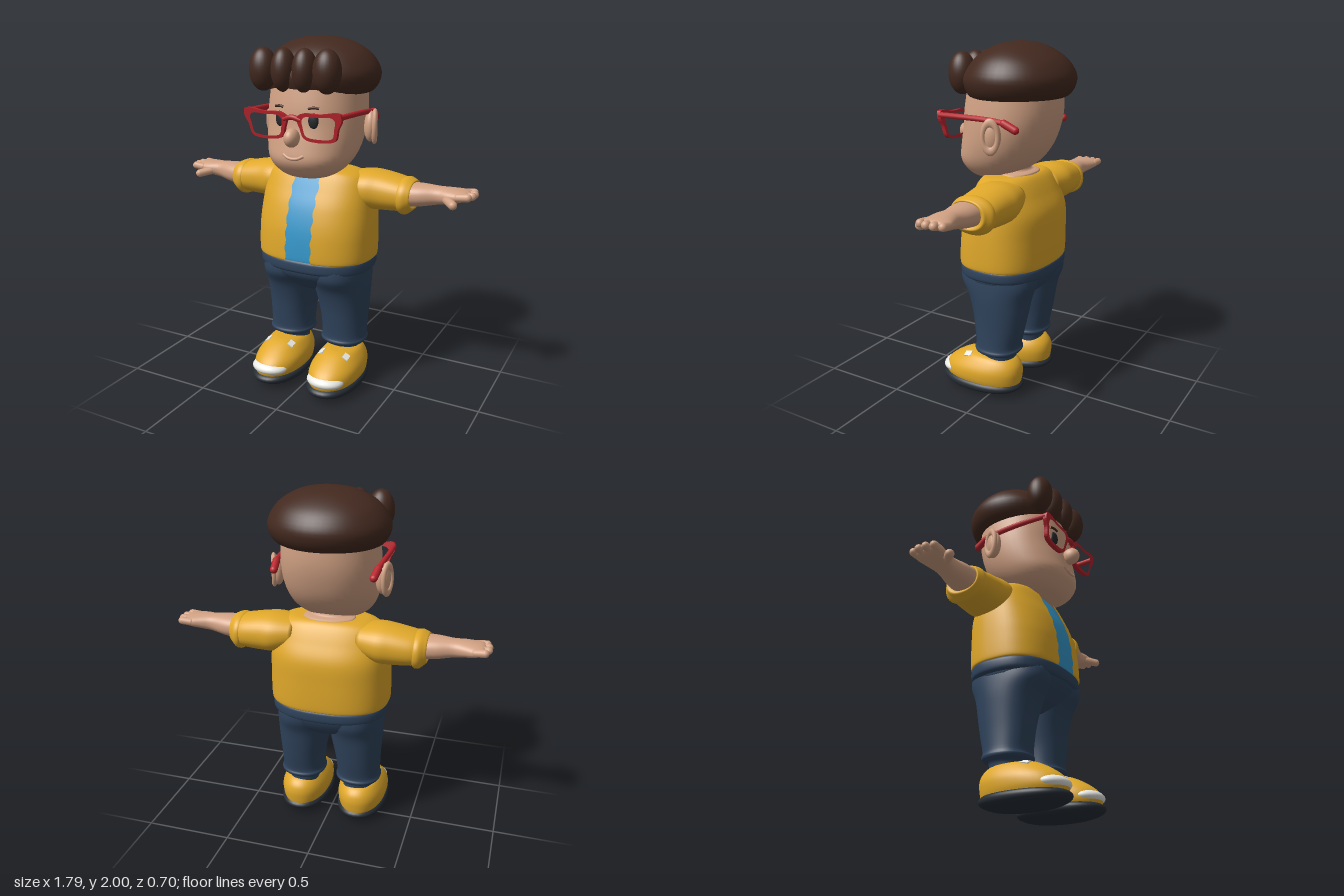
import * as THREE from 'three';

const mat = (name, color, double) => {
  const m = new THREE.MeshStandardMaterial({ color });
  m.name = name;
  if (double) m.side = THREE.DoubleSide;
  return m;
};

// Smooth skin over cross-sections [y, halfWidth, zFront, zBack, centreX]; gap(y) leaves the front open
function loft(rows, { seg = 40, e = 2.2, gap = null, sub = 4 } = {}) {
  const at = (i, k) => rows[Math.min(Math.max(i, 0), rows.length - 1)][k] ?? 0;
  const sections = [];
  for (let i = 0; i < rows.length - 1; i++) {
    for (let s = 0; s < sub + (i === rows.length - 2 ? 1 : 0); s++) {
      const t = s / sub;
      sections.push([0, 1, 2, 3, 4].map((k) => {
        const [a, b, c, d] = [at(i - 1, k), at(i, k), at(i + 1, k), at(i + 2, k)];
        return b + 0.5 * t * (c - a + t * (2 * a - 5 * b + 4 * c - d + t * (3 * (b - c) + d - a)));
      }));
    }
  }
  const pos = [], idx = [], cols = gap ? seg + 1 : seg;
  const pw = (v) => Math.sign(v) * Math.abs(v) ** (2 / e);
  for (const [y, rx, zf, zb, cx] of sections) {
    const t0 = gap ? Math.asin(Math.min(1, gap(y) / rx) ** (e / 2)) : 0;
    for (let j = 0; j < cols; j++) {
      const t = t0 + (j / seg) * (2 * Math.PI - 2 * t0);
      pos.push(cx + rx * pw(Math.sin(t)), y, (zf + zb) / 2 + ((zf - zb) / 2) * pw(Math.cos(t)));
    }
  }
  const n = sections.length, foot = n * cols, crown = foot + 1;
  for (const [y, , zf, zb, cx] of [sections[0], sections[n - 1]]) pos.push(cx, y, (zf + zb) / 2);
  for (let j = 0; j < seg; j++) {
    const k = (j + 1) % cols;
    idx.push(k, j, foot, (n - 1) * cols + j, (n - 1) * cols + k, crown);
    for (let i = 0; i < n - 1; i++) {
      const a = i * cols + j, b = i * cols + k;
      idx.push(a, b, a + cols, b, b + cols, a + cols);
    }
  }
  const g = new THREE.BufferGeometry();
  g.setAttribute('position', new THREE.Float32BufferAttribute(pos, 3));
  g.setIndex(idx);
  g.computeVertexNormals();
  return g;
}

// Limb along +x from rows [x, halfHeight, zFront, zBack, centreY]
const limb = (rows, opt) => loft(rows.map(([x, h, f, b, y]) => [x, h, f, b, -y]), opt).rotateZ(-Math.PI / 2).translate(0, 0, 0);
const ball = (x, y, z, rx, ry, rz, turn = 0) =>
  new THREE.SphereGeometry(1, 28, 20).scale(rx, ry, rz).rotateY(turn).translate(x, y, z);
const tube = (pts, r, n = 24) =>
  new THREE.TubeGeometry(new THREE.CatmullRomCurve3(pts.map((p) => new THREE.Vector3(...p))), n, r, 10);

function capsule(a, b, r) {
  const A = new THREE.Vector3(...a), B = new THREE.Vector3(...b), d = B.clone().sub(A);
  const q = new THREE.Quaternion().setFromUnitVectors(new THREE.Vector3(0, 1, 0), d.clone().normalize());
  const c = A.add(B).multiplyScalar(0.5);
  return new THREE.CapsuleGeometry(r, d.length(), 6, 14).applyQuaternion(q).translate(c.x, c.y, c.z);
}

function mirrored(geo) {
  const g = geo.index ? geo.clone().toNonIndexed() : geo.clone();
  const p = g.attributes.position, nrm = g.attributes.normal;
  for (const at of [p, nrm]) {
    for (let i = 0; i < at.count; i++) at.setX(i, -at.getX(i));
    for (let i = 0; i < at.count; i += 3) {
      const a = new THREE.Vector3().fromBufferAttribute(at, i + 1);
      const b = new THREE.Vector3().fromBufferAttribute(at, i + 2);
      at.setXYZ(i + 1, b.x, b.y, b.z);
      at.setXYZ(i + 2, a.x, a.y, a.z);
    }
  }
  return g;
}

export function createModel() {
  const model = new THREE.Group();
  model.name = 'boyFigure';
  const skin = mat('skin', 0xd2a284), hair = mat('hair brown', 0x43291f);
  const yellow = mat('jacket yellow', 0xe0a82a, true), blue = mat('shirt blue', 0x3598cb);
  const denim = mat('denim', 0x30445d), sole = mat('sole dark', 0x262d35);
  const white = mat('white', 0xe8e8e4), red = mat('glasses red', 0xb9252d), dark = mat('eye black', 0x26282c);
  const add = (name, geo, m) => {
    const mesh = new THREE.Mesh(geo, m);
    mesh.name = name;
    model.add(mesh);
  };
  const pair = (name, geo, m) => {
    add(name + 'Left', geo, m);
    add(name + 'Right', mirrored(geo), m);
  };

  // Head and face
  add('head', loft([[1.245, 0.03, 0.13, 0.05], [1.26, 0.12, 0.2, 0], [1.3, 0.19, 0.25, -0.08], [1.36, 0.235, 0.285, -0.16],
    [1.44, 0.26, 0.275, -0.22], [1.54, 0.272, 0.257, -0.26], [1.64, 0.27, 0.25, -0.28], [1.76, 0.26, 0.23, -0.28]]), skin);
  add('neck', loft([[1.2, 0.14, 0.04, -0.14], [1.28, 0.15, 0.04, -0.145], [1.295, 0.13, 0.04, -0.13], [1.31, 0.1, 0.05, -0.1], [1.4, 0.1, 0.08, -0.1]]), skin);
  add('nose', ball(0, 1.49, 0.295, 0.04, 0.05, 0.053), skin);
  add('mouth', tube([[-0.06, 1.395, 0.277], [-0.03, 1.38, 0.284], [0, 1.376, 0.286], [0.03, 1.38, 0.284], [0.06, 1.395, 0.277]], 0.009), skin);
  pair('eye', ball(0.1, 1.578, 0.242, 0.028, 0.041, 0.012, 0.2), dark);
  pair('eyebrow', tube([[0.072, 1.64, 0.246], [0.1, 1.646, 0.242], [0.13, 1.642, 0.234]], 0.007, 10), hair);
  pair('ear', ball(0.295, 1.525, -0.05, 0.036, 0.085, 0.05, 0.35), skin);
  pair('earRim', new THREE.TorusGeometry(0.042, 0.014, 10, 28).scale(0.95, 1.75, 1)
    .rotateY(Math.PI / 2 + 0.35).translate(0.318, 1.525, -0.055), skin);

  // Hair cap and fringe curls
  add('hairCap', loft([[1.705, 0.1, 0.08, -0.12], [1.7, 0.255, 0.2, -0.27], [1.735, 0.31, 0.235, -0.33], [1.81, 0.33, 0.25, -0.352],
    [1.89, 0.29, 0.2, -0.31], [1.945, 0.225, 0.135, -0.24], [1.985, 0.13, 0.05, -0.15], [2, 0.01, -0.04, -0.06]], { seg: 48, e: 2 }), hair);
  [-0.215, -0.09, 0.035, 0.165].forEach((x, i) => {
    const r = i % 3 ? 0.066 : 0.076;
    add('fringeCurl' + (i + 1), ball(x, 1.83, 0.215, r, 0.115, 0.075), hair);
  });

  // Glasses: two rims, bridge and temples, leaning back slightly
  const outline = (pts, T) => new T(new THREE.CatmullRomCurve3(
    pts.map(([x, y]) => new THREE.Vector3(x, y, 0)), true, 'centripetal').getPoints(48).slice(0, 48));
  const rim = outline([[0.03, 1.595], [0.06, 1.62], [0.16, 1.622], [0.28, 1.632], [0.288, 1.595], [0.266, 1.55], [0.25, 1.495],
    [0.22, 1.478], [0.09, 1.478], [0.06, 1.495], [0.045, 1.54]], THREE.Shape);
  rim.holes.push(outline([[0.06, 1.585], [0.08, 1.604], [0.16, 1.606], [0.235, 1.608], [0.252, 1.59], [0.245, 1.55], [0.234, 1.505],
    [0.21, 1.494], [0.1, 1.494], [0.075, 1.505], [0.063, 1.55]], THREE.Path));
  const rimGeo = new THREE.ExtrudeGeometry(rim, { depth: 0.022, bevelEnabled: false });
  const rp = rimGeo.attributes.position;
  for (let i = 0; i < rp.count; i++) rp.setZ(i, rp.getZ(i) + 0.282 + (rp.getY(i) - 1.63) * 0.15);
  rimGeo.computeVertexNormals();
  pair('glassesRim', rimGeo, red);
  add('glassesBridge', tube([[-0.05, 1.585, 0.287], [0, 1.598, 0.292], [0.05, 1.585, 0.287]], 0.014), red);
  pair('glassesTemple', tube([[0.278, 1.612, 0.29], [0.285, 1.612, 0.15], [0.285, 1.608, 0], [0.282, 1.598, -0.1], [0.275, 1.58, -0.15]], 0.015), red);
  pair('glassesTempleTip', capsule([0.28, 1.595, -0.115], [0.272, 1.563, -0.178], 0.021), red);

  // Open jacket over a shirt
  const torso = [[0.785, 0.33, 0.235, -0.255], [0.8, 0.343, 0.248, -0.27], [0.95, 0.343, 0.238, -0.272], [1.08, 0.335, 0.205, -0.265],
    [1.18, 0.32, 0.16, -0.22], [1.25, 0.29, 0.125, -0.18], [1.28, 0.23, 0.105, -0.15], [1.287, 0.15, 0.08, -0.12]];
  add('shirt', loft(torso.map(([y, r, f, b]) => [y - 0.004, r - 0.012, f - 0.008, b + 0.012]), { e: 2.5, seg: 56 }), blue);
  add('jacketBody', loft(torso, { e: 2.5, seg: 56, sub: 8, gap: (y) => 0.079 + 0.005 * Math.sin(y * 75) }), yellow);
  pair('sleeve', limb([[0.18, 0.08, 0.06, -0.19, 1.19], [0.29, 0.108, 0.075, -0.22, 1.178], [0.37, 0.108, 0.06, -0.215, 1.174],
    [0.46, 0.098, 0.052, -0.205, 1.168], [0.5, 0.092, 0.048, -0.195, 1.165]]), yellow);
  pair('sleeveCuff', limb([[0.485, 0.085, 0.04, -0.185, 1.162], [0.495, 0.1, 0.052, -0.2, 1.16], [0.52, 0.102, 0.055, -0.2, 1.16],
    [0.545, 0.088, 0.045, -0.18, 1.165], [0.56, 0.075, 0.035, -0.165, 1.168], [0.55, 0.06, 0.02, -0.14, 1.168]]), yellow);

  // Forearms and hands
  pair('forearm', limb([[0.5, 0.066, 0.03, -0.15, 1.17], [0.6, 0.062, 0.02, -0.145, 1.176], [0.69, 0.05, -0.005, -0.128, 1.183],
    [0.75, 0.044, 0.005, -0.14, 1.188], [0.81, 0.035, 0.006, -0.158, 1.193], [0.85, 0.024, 0, -0.155, 1.197], [0.865, 0.008, -0.04, -0.11, 1.198]]), skin);
  [-0.137, -0.095, -0.053, -0.012].forEach((z, i) =>
    pair('finger' + (i + 1), capsule([0.81, 1.195, z], [i % 3 ? 0.875 : 0.862, 1.2, z * 1.04], 0.022), skin));
  pair('thumb', capsule([0.745, 1.178, -0.02], [0.8, 1.165, 0.038], 0.024), skin);

  // Trousers: waistband, hips and legs
  add('waistband', loft([[0.715, 0.315, 0.228, -0.25], [0.73, 0.333, 0.244, -0.268], [0.775, 0.335, 0.246, -0.27], [0.79, 0.322, 0.235, -0.258]], { e: 2.5 }), denim);
  add('hips', loft([[0.555, 0.03, 0.03, -0.06], [0.575, 0.1, 0.09, -0.12], [0.63, 0.25, 0.17, -0.2], [0.69, 0.305, 0.222, -0.24], [0.74, 0.318, 0.235, -0.255]], { e: 2.4 }), denim);
  pair('leg', loft([[0.2, 0.09, 0.075, -0.11, 0.17], [0.25, 0.095, 0.08, -0.115, 0.17], [0.262, 0.125, 0.11, -0.14, 0.172],
    [0.28, 0.135, 0.122, -0.15, 0.172], [0.305, 0.128, 0.115, -0.143, 0.172], [0.4, 0.131, 0.125, -0.165, 0.17], [0.5, 0.143, 0.14, -0.185, 0.164],
    [0.6, 0.155, 0.17, -0.205, 0.158], [0.68, 0.155, 0.218, -0.237, 0.157], [0.74, 0.15, 0.22, -0.24, 0.157]]), denim);

  // Shoes with toe caps, tabs and soles
  pair('shoe', loft([[0.06, 0.13, 0.32, -0.15, 0.18], [0.1, 0.143, 0.335, -0.157, 0.18], [0.15, 0.142, 0.31, -0.16, 0.18],
    [0.195, 0.12, 0.25, -0.145, 0.18], [0.228, 0.09, 0.185, -0.1, 0.18], [0.24, 0.04, 0.14, 0, 0.18]]), yellow);
  pair('toeCap', ball(0.182, 0.112, 0.255, 0.112, 0.042, 0.088), white);
  for (const s of [-1, 1]) {
    pair(s < 0 ? 'innerTab' : 'outerTab', new THREE.BoxGeometry(0.035, 0.009, 0.045).rotateZ(-s * 0.5)
      .rotateX(0.2).translate(0.18 + s * 0.077, 0.221, 0.145), white);
  }
  pair('sole', loft([[0, 0.03, 0.14, 0.04, 0.18], [0.012, 0.1, 0.26, -0.08, 0.18], [0.032, 0.14, 0.33, -0.145, 0.18],
    [0.055, 0.15, 0.35, -0.165, 0.18], [0.075, 0.142, 0.335, -0.152, 0.18], [0.085, 0.12, 0.3, -0.13, 0.18]]), sole);
  return model;
}
